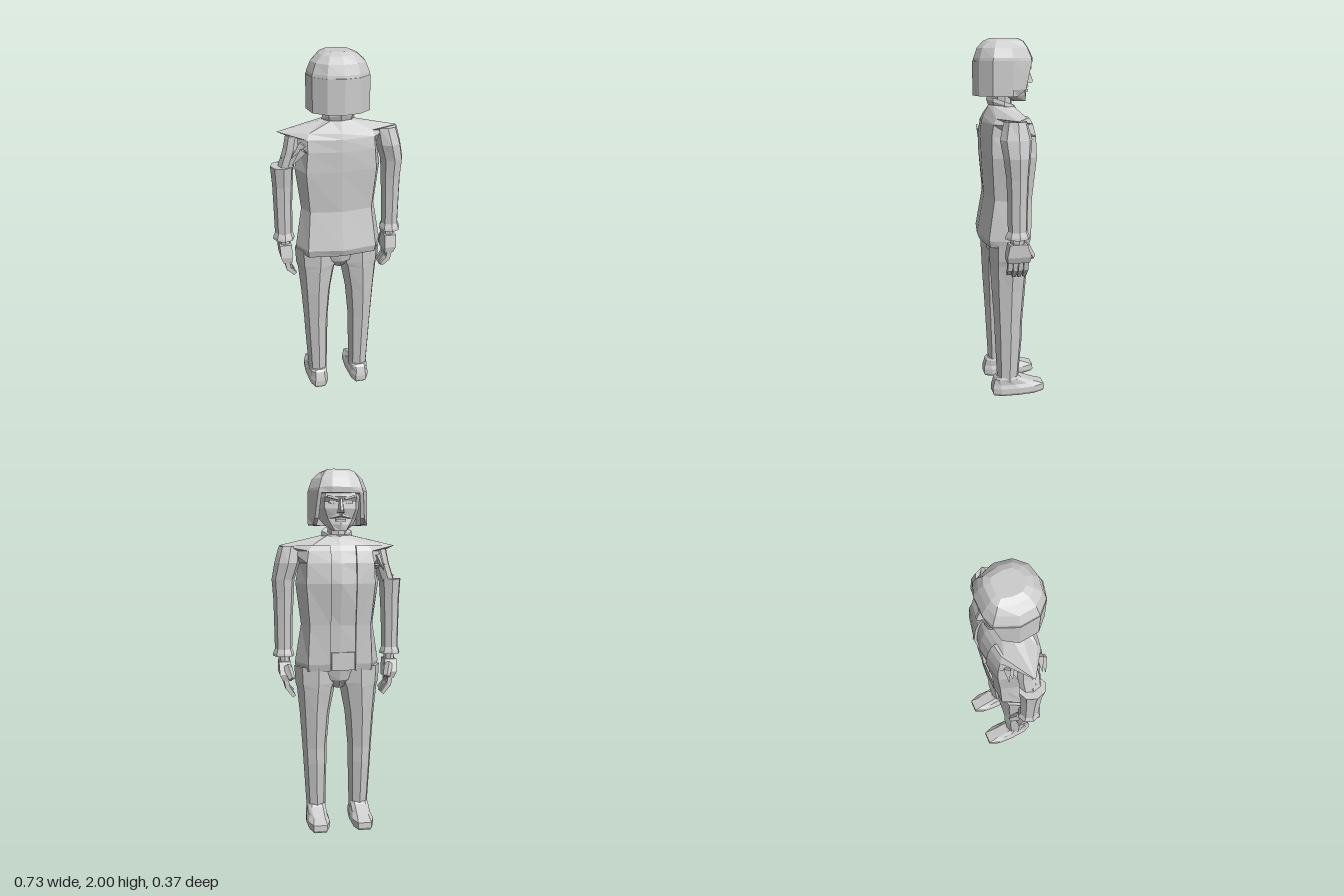
import * as THREE from 'three';

const cloth = new THREE.MeshStandardMaterial({ color: 0xcccccc });
cloth.name = 'plain grey';

// Faceted skin over rings of [x,y,z] listed bottom to top; s = -1 mirrors in x.
function loft(name, rings, s = 1) {
  const pos = [];
  const tri = (a, b, c) => {
    for (const p of s > 0 ? [a, b, c] : [a, c, b]) pos.push(p[0] * s, p[1], p[2]);
  };
  const n = rings[0].length;
  for (let i = 0; i < rings.length - 1; i++) {
    for (let j = 0; j < n; j++) {
      const k = (j + 1) % n, lo = rings[i], hi = rings[i + 1];
      tri(lo[j], hi[j], hi[k]);
      tri(lo[j], hi[k], lo[k]);
    }
  }
  const cap = (ring, up) => {
    const flat = ring.map(p => new THREE.Vector2(p[0], p[2]));
    for (const [a, b, c] of THREE.ShapeUtils.triangulateShape(flat, [])) {
      const cross = (flat[b].x - flat[a].x) * (flat[c].y - flat[a].y) - (flat[b].y - flat[a].y) * (flat[c].x - flat[a].x);
      if ((cross < 0) === up) tri(ring[a], ring[b], ring[c]);
      else tri(ring[a], ring[c], ring[b]);
    }
  };
  cap(rings[0], false);
  cap(rings[rings.length - 1], true);
  const g = new THREE.BufferGeometry();
  g.setAttribute('position', new THREE.Float32BufferAttribute(pos, 3));
  g.computeVertexNormals();
  const m = new THREE.Mesh(g, cloth);
  m.name = name;
  return m;
}

// Eight-sided ring: centre x, half width, centre z, half depth
const oval = ([y, cx, rx, cz, rz]) => Array.from({ length: 8 }, (_, i) => {
  const a = i * Math.PI / 4;
  return [cx + rx * Math.cos(a), y, cz + rz * Math.sin(a)];
});

// Symmetric body ring: side, back corner, back middle, front corner, front middle
const body = ([y, sx, sz, bx, bz, bm, fx, fz, fm]) => [
  [sx, y, sz], [bx, y, bz], [0, y, bm], [-bx, y, bz],
  [-sx, y, sz], [-fx, y, fz], [0, y, fm], [fx, y, fz],
];

// Tapered faceted rod between two points
function rod(name, a, b, ra, rb, sides = 4) {
  const A = new THREE.Vector3(...a), B = new THREE.Vector3(...b), d = B.clone().sub(A);
  const g = new THREE.CylinderGeometry(rb, ra, d.length(), sides, 1, false, Math.PI / 4).toNonIndexed();
  g.computeVertexNormals();
  const m = new THREE.Mesh(g, cloth);
  m.name = name;
  m.position.copy(A).add(B).multiplyScalar(0.5);
  m.quaternion.setFromUnitVectors(new THREE.Vector3(0, 1, 0), d.normalize());
  return m;
}

function box(name, size, at, tilt = 0) {
  const m = new THREE.Mesh(new THREE.BoxGeometry(...size), cloth);
  m.name = name;
  m.position.set(...at);
  m.rotation.z = tilt;
  return m;
}

export function createModel() {
  const model = new THREE.Group();
  model.name = 'standing figure';

  // Torso, wide at the shoulders and flared at the hem
  const torso = [
    [0.905, 0.235, 0.03, 0.185, 0.13, 0.155, 0.17, -0.075, -0.085],
    [0.945, 0.24, 0.03, 0.19, 0.14, 0.17, 0.175, -0.085, -0.095],
    [1.16, 0.205, 0.02, 0.17, 0.105, 0.13, 0.165, -0.09, -0.105],
    [1.39, 0.235, 0.015, 0.19, 0.12, 0.142, 0.185, -0.11, -0.143],
    [1.50, 0.215, 0.015, 0.18, 0.12, 0.145, 0.18, -0.105, -0.13],
    [1.565, 0.26, 0.015, 0.18, 0.11, 0.14, 0.17, -0.09, -0.11],
    [1.595, 0.325, 0.015, 0.17, 0.095, 0.13, 0.15, -0.075, -0.09],
    [1.655, 0.07, 0.04, 0.05, 0.085, 0.1, 0.05, -0.02, -0.035],
  ];
  model.add(loft('jacketBody', torso.map(body)));

  // Open jacket fronts lying over the shirt
  for (const s of [1, -1]) {
    const edge = s > 0 ? 0.055 : 0.085;
    model.add(loft('jacketFront', torso.slice(0, 7).map(([y, sx, sz, , , , fx, fz, fm]) => {
      const z = fm + (fz - fm) * edge / fx;
      return [[sx, y, sz], [edge, y, z + 0.005], [edge, y, z - 0.016], [fx + 0.004, y, fz - 0.012]];
    }), s));
  }
  model.add(box('shirtFlap', [0.13, 0.1, 0.012], [-0.015, 0.96, -0.1]));

  // Collar tilted down to the front, and the neck
  const collar = [[1.615, 0.075], [1.645, 0.088], [1.665, 0.084], [1.66, 0.06]].map(([y, r]) =>
    oval([y, 0, r, 0.03, r * 0.92]).map(([x, h, z]) => [x, h + z * 0.35, z]));
  model.add(loft('collar', collar));
  model.add(loft('neck', [[1.6, 0, 0.055, 0.02, 0.05], [1.74, 0, 0.05, 0.02, 0.05]].map(oval)));

  // Head and chin
  model.add(loft('head', [
    [1.672, 0.035, -0.07, 0.02, -0.045, -0.035, 0.03, -0.1, -0.106],
    [1.705, 0.08, -0.03, 0.06, 0.02, 0.04, 0.05, -0.095, -0.112],
    [1.735, 0.1, 0, 0.08, 0.08, 0.1, 0.065, -0.085, -0.105],
    [1.79, 0.118, 0, 0.1, 0.1, 0.14, 0.085, -0.095, -0.115],
    [1.825, 0.12, 0, 0.1, 0.1, 0.14, 0.085, -0.09, -0.11],
    [1.85, 0.125, 0, 0.1, 0.1, 0.14, 0.085, -0.105, -0.122],
    [1.92, 0.1, 0, 0.08, 0.1, 0.12, 0.07, -0.09, -0.105],
  ].map(body)));

  // Face details
  model.add(loft('nose', [
    [[0.022, 1.765, -0.1], [-0.022, 1.765, -0.1], [-0.01, 1.768, -0.142], [0.01, 1.768, -0.142]],
    [[0.018, 1.785, -0.1], [-0.018, 1.785, -0.1], [-0.007, 1.78, -0.146], [0.007, 1.78, -0.146]],
    [[0.01, 1.845, -0.1], [-0.01, 1.845, -0.1], [-0.005, 1.84, -0.124], [0.005, 1.84, -0.124]],
  ]));
  for (const s of [1, -1]) {
    model.add(box('eye', [0.036, 0.014, 0.016], [s * 0.046, 1.822, -0.1], s * 0.15));
    model.add(box('brow', [0.055, 0.012, 0.02], [s * 0.046, 1.846, -0.11], s * 0.25));
    model.add(rod('moustache', [s * 0.004, 1.755, -0.112], [s * 0.055, 1.74, -0.095], 0.012, 0.004));
  }
  model.add(box('lips', [0.055, 0.014, 0.014], [0, 1.728, -0.107]));

  // Bobbed hair: a curtain open at the face, then the crown
  const curtain = [[1.705, 0.14, -0.03], [1.74, 0.135, -0.075], [1.82, 0.128, -0.095], [1.885, 0.12, -0.11]];
  model.add(loft('hairSides', curtain.map(([y, fx, fz]) => {
    const half = [[fx, fz], [0.165, 0], [0.15, 0.105], [0.085, 0.165]];
    const inner = [[fx - 0.02, fz], [0.135, 0], [0.12, 0.085], [0.07, 0.135]];
    const flip = list => list.map(([x, z]) => [-x, z]).reverse();
    const outline = [...half, [0, 0.185], ...flip(half), ...flip(inner).reverse(), [0, 0.15], ...inner.slice().reverse()];
    return outline.map(([x, z]) => [x, y, z]);
  })));
  const crown = [
    [1.87, 0.164, 0, 0.15, 0.105, 0.085, 0.165, 0.183, 0.12, -0.11, 0.05, -0.13],
    [1.9, 0.16, 0, 0.147, 0.1, 0.083, 0.16, 0.178, 0.115, -0.108, 0.05, -0.132],
    [1.95, 0.14, 0.005, 0.128, 0.09, 0.075, 0.145, 0.16, 0.1, -0.09, 0.045, -0.108],
    [1.985, 0.1, 0.01, 0.093, 0.075, 0.06, 0.11, 0.127, 0.08, -0.07, 0.04, -0.085],
    [2.0, 0.066, 0.01, 0.062, 0.055, 0.04, 0.08, 0.092, 0.055, -0.045, 0.03, -0.055],
  ];
  model.add(loft('hairCrown', crown.map(([y, ax, az, bx, bz, cx, cz, back, fx, fz, gx, gz]) => [
    [ax, y, az], [bx, y, bz], [cx, y, cz], [0, y, back], [-cx, y, cz], [-bx, y, bz],
    [-ax, y, az], [-fx, y, fz], [-gx, y, gz], [gx, y, gz], [fx, y, fz],
  ])));

  for (const s of [1, -1]) {
    // Sleeve: full to the shoulder on the left, torn off short on the right
    const sleeve = [
      [0.995, 0.305, 0.048, 0.012, 0.052], [1.2, 0.304, 0.052, 0.012, 0.056],
      [1.3, 0.302, 0.056, 0.012, 0.06], [1.41, 0.303, 0.063, 0.015, 0.072],
      [1.5, 0.28, 0.07, 0.015, 0.085], [1.59, 0.262, 0.063, 0.015, 0.06],
    ];
    model.add(loft('sleeve', sleeve.slice(0, s > 0 ? 6 : 4).map(oval), s));
    model.add(loft('cuff', [[0.985, 0.305, 0.06, 0.012, 0.068], [1.0, 0.305, 0.058, 0.012, 0.064],
      [1.025, 0.305, 0.048, 0.012, 0.052]].map(oval), s));

    // Hand with four curled fingers and a thumb
    model.add(loft('wrist', [[0.93, 0.3, 0.032, 0.01, 0.038], [1.0, 0.303, 0.032, 0.01, 0.04]].map(oval), s));
    const palm = (y, x0, x1, z0, z1) => [[x1, y, z0], [x1, y, z1], [x0, y, z1], [x0, y, z0]];
    model.add(loft('palm', [palm(0.85, 0.268, 0.318, -0.052, 0.066), palm(0.885, 0.268, 0.332, -0.06, 0.072),
      palm(0.955, 0.268, 0.335, -0.035, 0.058)], s));
    for (let i = 0; i < 4; i++) {
      const z = -0.037 + i * 0.029, drop = i === 3 ? 0.015 : 0;
      model.add(rod('finger', [s * 0.3, 0.87, z], [s * 0.288, 0.805, z], 0.019, 0.018));
      model.add(rod('fingertip', [s * 0.29, 0.812, z], [s * 0.252, 0.76 + drop, z], 0.018, 0.014));
    }
    model.add(rod('thumb', [s * 0.29, 0.93, -0.035], [s * 0.268, 0.865, -0.08], 0.026, 0.018));

    // Trouser leg
    model.add(loft('trouserLeg', [
      [0.08, 0.125, 0.055, 0.022, 0.062], [0.36, 0.13, 0.067, 0.018, 0.08], [0.45, 0.132, 0.07, 0.02, 0.082],
      [0.65, 0.13, 0.086, 0.018, 0.097], [0.8, 0.123, 0.108, 0.015, 0.108], [0.83, 0.12, 0.12, 0.015, 0.11],
      [0.925, 0.12, 0.125, 0.015, 0.112],
    ].map(oval), s));

    // Shoe: half width, heel z and toe z at each height
    model.add(loft('shoe', [
      [0, 0.056, 0.108, -0.18], [0.015, 0.064, 0.115, -0.189], [0.045, 0.063, 0.115, -0.187],
      [0.066, 0.054, 0.11, -0.13], [0.1, 0.054, 0.1, -0.05], [0.112, 0.05, 0.088, -0.035],
    ].map(([y, w, heel, toe]) => {
      const at = t => toe + (heel - toe) * t;
      return [[1, 0.5], [0.85, 0.85], [0.5, 1], [-0.5, 1], [-0.85, 0.85], [-1, 0.5], [-0.95, 0.2], [-0.6, 0], [0.6, 0], [0.95, 0.2]]
        .map(([u, t]) => [0.126 + u * w, y, at(t)]);
    }), s));
  }

  // Seat joining the legs
  model.add(loft('trouserSeat', [[0.8, 0, 0.03, 0.015, 0.06], [0.85, 0, 0.13, 0.015, 0.1],
    [0.925, 0, 0.18, 0.015, 0.115]].map(oval)));

  // Bare upper arm and ragged strips at the torn right shoulder
  model.add(loft('bareArm', [[1.38, 0.29, 0.045, 0.015, 0.055], [1.5, 0.25, 0.045, 0.015, 0.06],
    [1.575, 0.235, 0.045, 0.015, 0.05]].map(oval), -1));
  for (let i = 0; i < 11; i++) {
    const z = -0.085 + i * 0.019, j = Math.sin(i * 7.3), bulge = Math.abs(z - 0.015) * 0.7;
    model.add(rod('tornStrip', [-0.205, 1.545 - 0.03 * (i % 3), z + 0.01],
      [-0.315 + bulge + 0.015 * j, 1.46 + 0.035 * j, z], 0.022, 0.002, 3));
  }
  return model;
}
